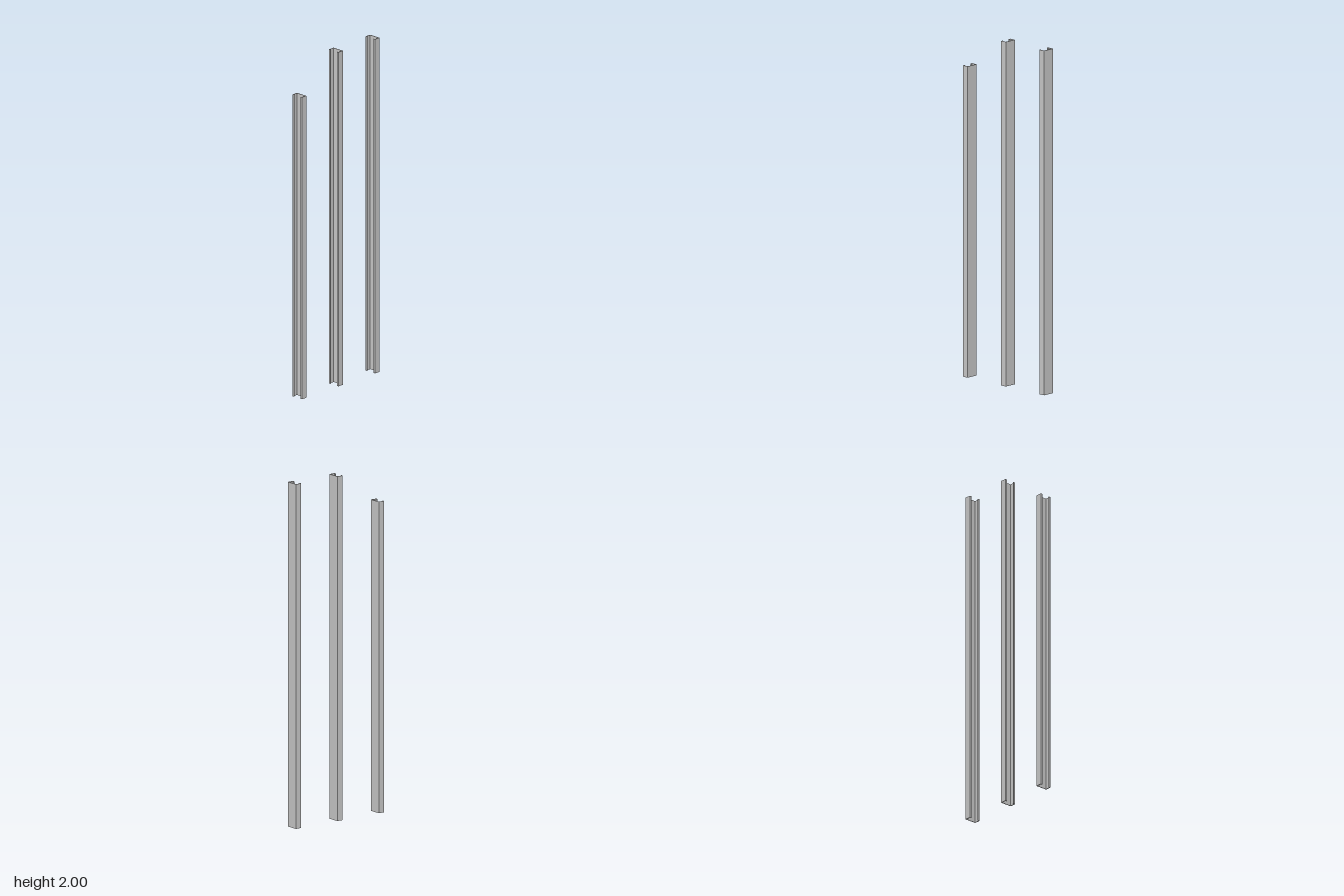
import * as THREE from 'three';

const WIDTH = 0.037, DEPTH = 0.073, LIP = 0.012, WALL = 0.0032, SPACING = 0.299;

// Lipped C-section: web on +x, open towards -x
function channelShape() {
  const x = WIDTH / 2, z = DEPTH / 2;
  const half = [
    [x, z], [-x, z], [-x, z - LIP], [-x + WALL, z - LIP],
    [-x + WALL, z - WALL], [x - WALL, z - WALL],
  ];
  const mirrored = half.map(([px, pz]) => [px, -pz]).reverse();
  return new THREE.Shape([...half, ...mirrored].map(([px, pz]) => new THREE.Vector2(px, pz)));
}

export function createModel() {
  const group = new THREE.Group();
  group.name = 'channelStuds';
  const material = new THREE.MeshStandardMaterial({ color: 0xcccccc });
  const shape = channelShape();

  // One upright stud, standing on the ground
  const addStud = (name, x, height) => {
    const geometry = new THREE.ExtrudeGeometry(shape, { depth: height, bevelEnabled: false });
    geometry.rotateX(-Math.PI / 2);
    const stud = new THREE.Mesh(geometry, material);
    stud.name = name;
    stud.position.x = x;
    group.add(stud);
  };

  addStud('rightShortStud', -SPACING, 1.807);
  addStud('middleStud', 0, 2);
  addStud('leftStud', SPACING, 2);
  return group;
}
